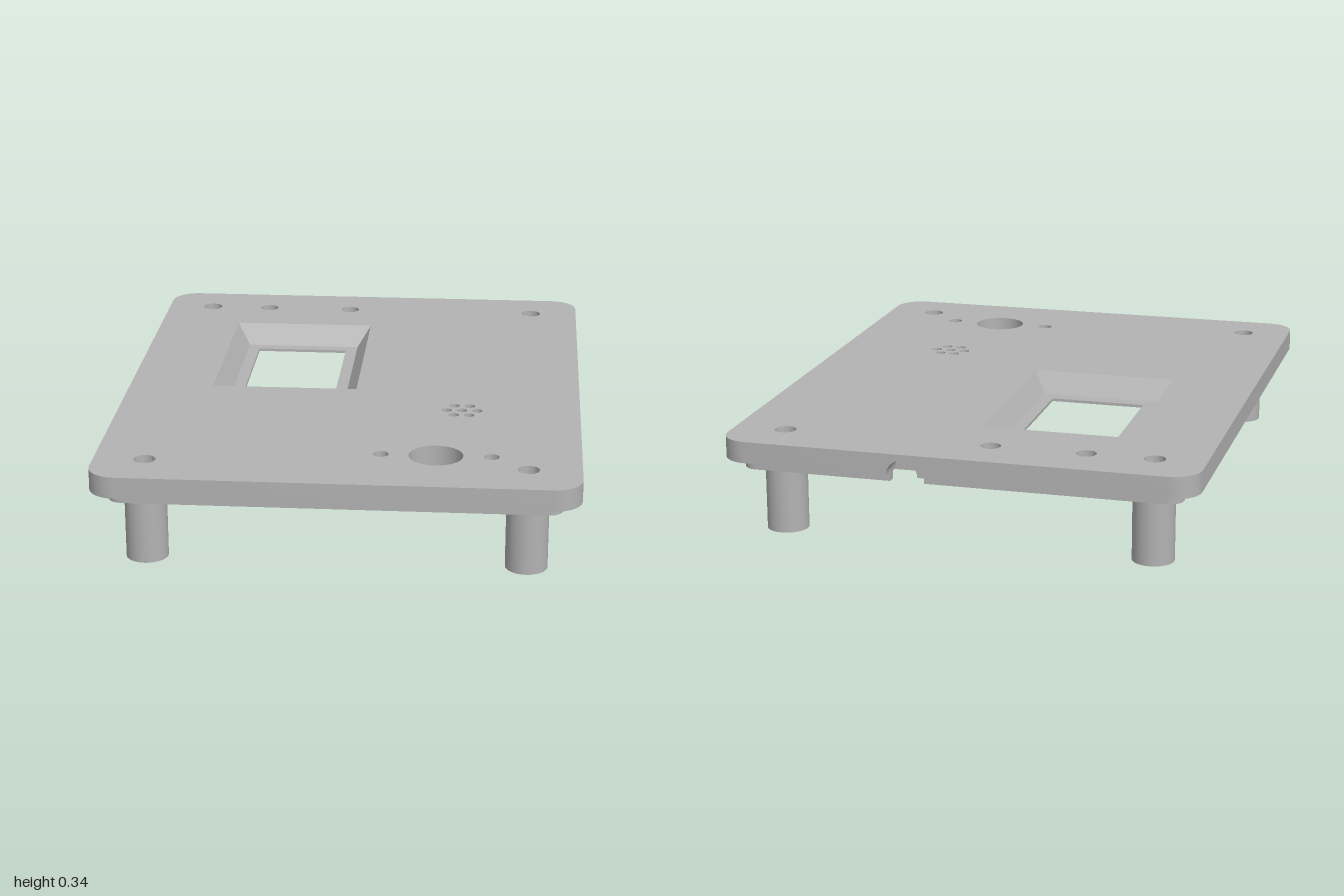
import * as THREE from 'three';
import { toCreasedNormals } from 'three/addons/utils/BufferGeometryUtils.js';

const TOP = 0.34, RIM = 0.267, CEILING = 0.257, LIP = 0.23;
const NOTCH = { r: 0.053, backX: 0.165, rightZ: -0.42, half: 0.058, backEnd: -0.9, rightEnd: 0.7 };
const POSTS = [[-0.63, -0.83], [0.625, -0.83], [-0.63, 0.83], [0.625, 0.83]];
const WINDOW = { outer: [-0.503, 0.01, -0.63, 0.1], inner: [-0.455, -0.038, -0.583, 0.052], opening: [-0.413, -0.08, -0.54, 0] };

const plastic = new THREE.MeshStandardMaterial({ color: 0xb3b3b3 });
plastic.name = 'grey plastic';
plastic.side = THREE.DoubleSide;

// Points are [x, z]; shapes use y = -z so they can be laid flat
const toVectors = (pts) => pts.map(([x, z]) => new THREE.Vector2(x, -z));

function slab(shape, y0, y1) {
  const geo = new THREE.ExtrudeGeometry(shape, { depth: y1 - y0, bevelEnabled: false, curveSegments: 20 });
  geo.rotateX(-Math.PI / 2).translate(0, y0, 0);
  return toCreasedNormals(geo, 0.6);
}

function circle(x, z, r) {
  return new THREE.Path().absarc(x, -z, r, 0, Math.PI * 2, false);
}

function rectCorners([x0, x1, z0, z1]) {
  return [[x0, z0], [x1, z0], [x1, z1], [x0, z1]];
}

// Rounded corner; sx and sz choose which one, walking clockwise from above
function corner(hw, hd, r, sx, sz) {
  const start = { '1,-1': -90, '1,1': 0, '-1,1': 90, '-1,-1': 180 }[`${sx},${sz}`];
  return Array.from({ length: 9 }, (_, i) => {
    const a = THREE.MathUtils.degToRad(start + i * 11.25);
    return [sx * (hw - r) + r * Math.cos(a), sz * (hd - r) + r * Math.sin(a)];
  });
}

// The two stretches of outline between the back notch and the right notch
function outlineParts(hw, hd, r) {
  const { backX, rightZ, half } = NOTCH;
  return [
    [[backX + half, -hd], ...corner(hw, hd, r, 1, -1), [hw, rightZ - half]],
    [[hw, rightZ + half], ...corner(hw, hd, r, 1, 1), ...corner(hw, hd, r, -1, 1),
      ...corner(hw, hd, r, -1, -1), [backX - half, -hd]],
  ];
}

// Full outline with both notch bites
function notchedShape(hw, hd, r) {
  const { backX, rightZ, half, backEnd, rightEnd } = NOTCH;
  const [a, b] = outlineParts(hw, hd, r);
  return new THREE.Shape(toVectors([
    ...a, [rightEnd, rightZ - half], [rightEnd, rightZ + half],
    ...b, [backX - half, backEnd], [backX + half, backEnd],
  ]));
}

function drillHoles() {
  const holes = POSTS.map(([x, z]) => circle(x, z, 0.036));
  for (const x of [-0.405, -0.085]) holes.push(circle(x, -0.83, 0.034));
  // Large round opening with a screw hole on each side
  holes.push(circle(0.32, 0.725, 0.09), circle(0.138, 0.725, 0.026), circle(0.503, 0.725, 0.026));
  // Sound holes: one in the middle, six around
  holes.push(circle(0.391, 0.29, 0.018));
  for (let i = 0; i < 6; i++) {
    const a = i * Math.PI / 3;
    holes.push(circle(0.391 + 0.053 * Math.cos(a), 0.29 + 0.053 * Math.sin(a), 0.018));
  }
  return holes;
}

// Sloping walls from the top surface down to the window ledge
function bevelGeometry() {
  const hi = rectCorners(WINDOW.outer), lo = rectCorners(WINDOW.inner);
  const pos = [];
  for (let i = 0; i < 4; i++) {
    const j = (i + 1) % 4;
    const a = [hi[i][0], TOP, hi[i][1]], b = [hi[j][0], TOP, hi[j][1]];
    const c = [lo[j][0], RIM, lo[j][1]], d = [lo[i][0], RIM, lo[i][1]];
    pos.push(...a, ...d, ...c, ...a, ...c, ...b);
  }
  const geo = new THREE.BufferGeometry();
  geo.setAttribute('position', new THREE.Float32BufferAttribute(pos, 3));
  geo.computeVertexNormals();
  return geo;
}

// Block with an arched underside, filling a bite above its cable notch
function archGeometry(depth) {
  const { r, half } = NOTCH;
  const shape = new THREE.Shape();
  shape.moveTo(-half, 0);
  shape.lineTo(-r, 0);
  shape.absarc(0, 0, r, Math.PI, 0, true);
  shape.lineTo(half, 0);
  shape.lineTo(half, TOP - RIM);
  shape.lineTo(-half, TOP - RIM);
  const geo = new THREE.ExtrudeGeometry(shape, { depth, bevelEnabled: false, curveSegments: 20 });
  return toCreasedNormals(geo, 0.6);
}

export function createModel() {
  const model = new THREE.Group();
  model.name = 'enclosureLid';
  const add = (name, geo) => {
    const mesh = new THREE.Mesh(geo, plastic);
    mesh.name = name;
    model.add(mesh);
    return mesh;
  };

  // Top plate and the slightly lower inner panel
  const plate = notchedShape(0.8, 1, 0.095);
  plate.holes.push(...drillHoles(), new THREE.Path(toVectors(rectCorners(WINDOW.outer))));
  add('topPlate', slab(plate, RIM, TOP));

  const panel = notchedShape(0.72, 0.925, 0.04);
  panel.holes.push(...drillHoles(), new THREE.Path(toVectors(rectCorners(WINDOW.opening))));
  add('innerPanel', slab(panel, CEILING, RIM));

  add('windowBevel', bevelGeometry());

  // Locating lip, broken by the two notches
  const outer = outlineParts(0.74, 0.945, 0.05), inner = outlineParts(0.71, 0.915, 0.03);
  outer.forEach((part, i) => {
    const shape = new THREE.Shape(toVectors([...part, ...inner[i].reverse()]));
    add('lip', slab(shape, LIP, RIM));
  });

  // Arches over the cable notches
  const backArch = add('backNotchArch', archGeometry(1 + NOTCH.backEnd));
  backArch.position.set(NOTCH.backX, RIM, -1);
  const rightArch = add('rightNotchArch', archGeometry(0.8 - NOTCH.rightEnd));
  rightArch.rotation.y = Math.PI / 2;
  rightArch.position.set(NOTCH.rightEnd, RIM, NOTCH.rightZ);

  // Hollow screw posts
  for (const [x, z] of POSTS) {
    const ring = new THREE.Shape().absarc(x, -z, 0.07, 0, Math.PI * 2, false);
    ring.holes.push(circle(x, z, 0.036));
    add('screwPost', slab(ring, 0, CEILING));
  }
  return model;
}
